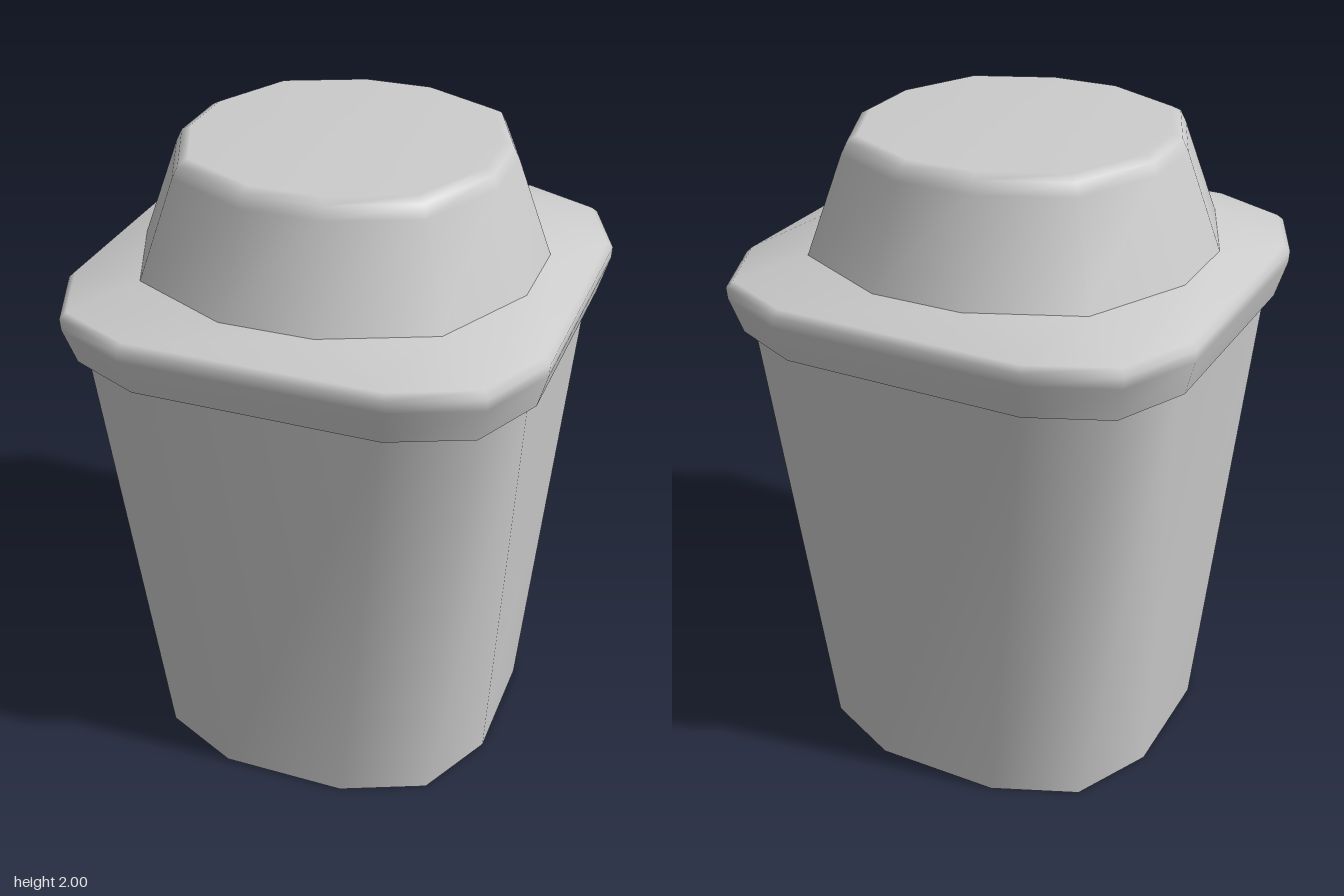
import * as THREE from 'three';

const material = new THREE.MeshStandardMaterial({ color: 0xcccccc });

// Twelve-sided section: three points per corner, turned four times.
// square = 0 is nearly round, 1 is a twisted square with cut corners.
function section(y, size, square) {
  const corner = [
    [-0.19 + 0.265 * square, 1],
    [0.385 + 0.015 * square, 1],
    [0.82 - 0.19 * square, 0.62 + 0.17 * square],
  ];
  const points = [];
  for (let turn = 0; turn < 4; turn++) {
    for (const p of corner) {
      let [x, z] = p;
      for (let k = 0; k < turn; k++) [x, z] = [z, -x];
      points.push(x * size, y, z * size * 0.985);
    }
  }
  return points;
}

// Smooth skin through a list of [y, size, square] rings
function loft(name, rings) {
  const n = 12;
  const index = [];
  for (let i = 0; i < rings.length - 1; i++) {
    for (let j = 0; j < n; j++) {
      const a = i * n + j;
      const b = i * n + ((j + 1) % n);
      index.push(a, b, b + n, a, b + n, a + n);
    }
  }
  const geometry = new THREE.BufferGeometry();
  geometry.setAttribute('position',
    new THREE.Float32BufferAttribute(rings.flatMap((r) => section(...r)), 3));
  geometry.setIndex(index);
  geometry.computeVertexNormals();
  const mesh = new THREE.Mesh(geometry, material);
  mesh.name = name;
  return mesh;
}

export function createModel() {
  const model = new THREE.Group();
  model.name = 'lidded cup';

  // Tapered cup, rounder at the foot than at the mouth
  const cup = new THREE.Group();
  cup.name = 'cup';
  cup.add(
    loft('cupBase', [[0, 0, 0.42], [0, 0.59, 0.42]]),
    loft('cupWall', [[0, 0.59, 0.42], [1.45, 0.745, 1]]),
  );

  // Lid: overhanging rim with a raised, bevelled cap
  const lid = new THREE.Group();
  lid.name = 'lid';
  lid.add(
    loft('rimUnderside', [[1.45, 0.74, 1], [1.45, 0.775, 1]]),
    loft('rim', [
      [1.45, 0.775, 1], [1.56, 0.81, 1], [1.595, 0.812, 1],
      [1.612, 0.792, 1], [1.66, 0.59, 0],
    ]),
    loft('cap', [
      [1.66, 0.59, 0], [1.95, 0.485, 0], [1.985, 0.468, 0],
      [2, 0.44, 0], [2, 0, 0],
    ]),
  );

  model.add(cup, lid);
  return model;
}
